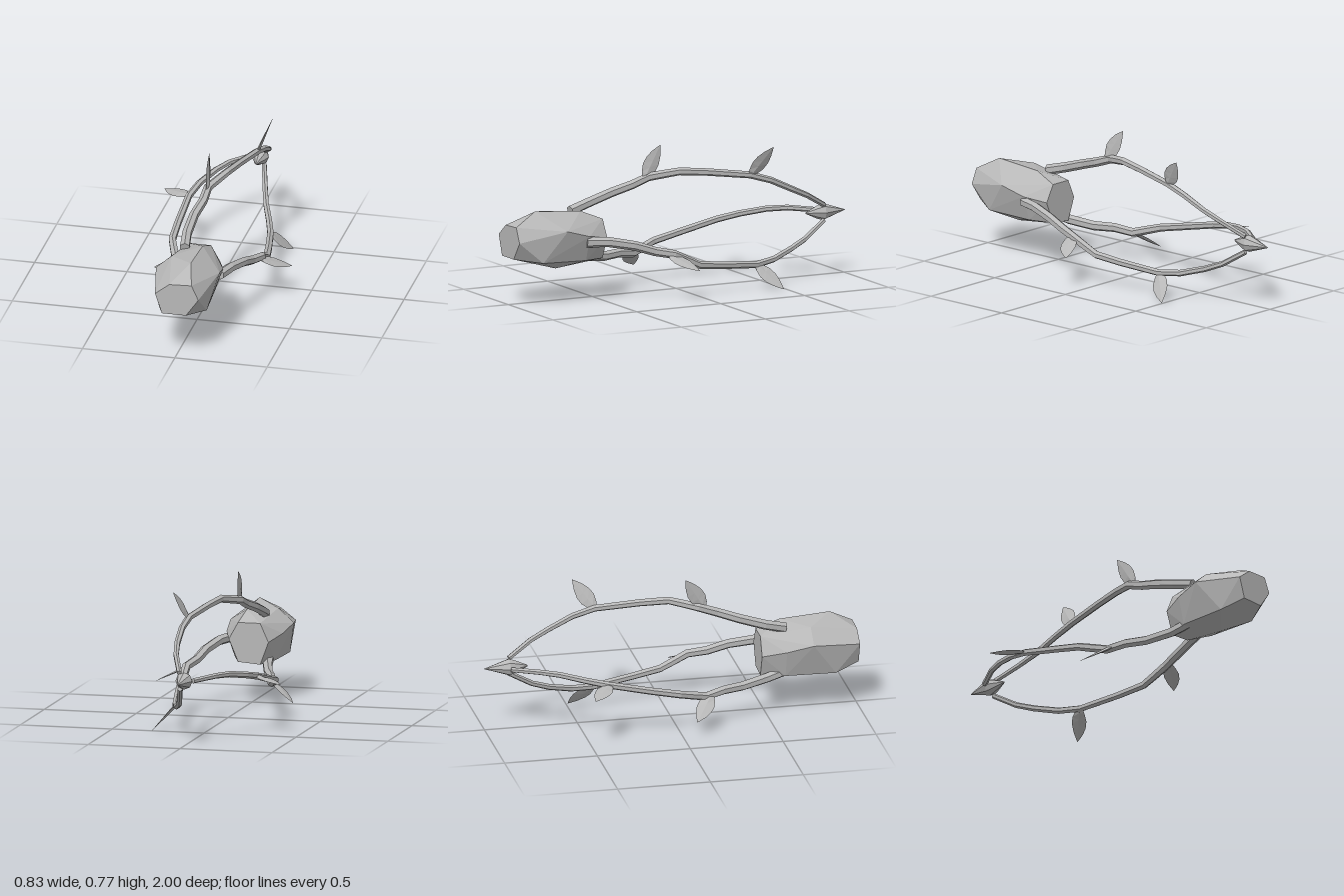
import * as THREE from 'three';
import { ConvexGeometry } from 'three/addons/geometries/ConvexGeometry.js';

const V = (x, y, z) => new THREE.Vector3(x, y, z);
const AXIS = V(0.014, 0.342, 0); // the long axis the three vines turn around

// Elliptical ring of n points round direction t, with radius a along hint and b across it
function ring(center, t, hint, a, b, n) {
  const v = t.clone().cross(hint).normalize();
  const u = v.clone().cross(t).normalize();
  return Array.from({ length: n }, (_, i) => {
    const k = (i / n) * Math.PI * 2;
    return center.clone().addScaledVector(u, a * Math.cos(k)).addScaledVector(v, b * Math.sin(k));
  });
}

// Faceted closed skin over a row of rings
function loft(rings) {
  const pts = [];
  const n = rings[0].length;
  for (let r = 0; r < rings.length - 1; r++) {
    const a = rings[r], b = rings[r + 1];
    for (let i = 0; i < n; i++) {
      const j = (i + 1) % n;
      pts.push(a[i], a[j], b[j], a[i], b[j], b[i]);
    }
  }
  const first = rings[0], last = rings[rings.length - 1];
  for (let i = 1; i < n - 1; i++) {
    pts.push(first[0], first[i + 1], first[i], last[0], last[i], last[i + 1]);
  }
  const g = new THREE.BufferGeometry().setFromPoints(pts);
  g.computeVertexNormals();
  return g;
}

function vineGeometry() {
  const path = [
    [-0.04, 0.465, 0.61], [-0.055, 0.495, 0.5], [-0.05, 0.54, 0.36], [-0.028, 0.575, 0.25],
    [-0.025, 0.61, 0.15], [0.01, 0.625, 0.07], [0.04, 0.637, 0], [0.07, 0.625, -0.15],
    [0.113, 0.597, -0.38], [0.12, 0.56, -0.5], [0.112, 0.5, -0.63], [0.092, 0.455, -0.73],
    [0.04, 0.383, -0.86],
  ].map((p) => V(...p).sub(AXIS));
  const last = path.length - 1;
  return loft(path.map((p, i) => {
    const t = path[Math.min(i + 1, last)].clone().sub(path[Math.max(i - 1, 0)]).normalize();
    const r = 0.028 - 0.014 * (i / last);
    return ring(p, t, V(0, 1, 0), r, r, 6);
  }));
}

// Thin leaf standing in the plane of its own length and the long axis
function leafGeometry(base, tip) {
  const from = V(...base).sub(AXIS), to = V(...tip).sub(AXIS);
  const t = to.clone().sub(from).normalize();
  const outline = [[0, 0.008], [0.15, 0.028], [0.35, 0.043], [0.55, 0.042], [0.75, 0.029], [0.9, 0.013], [1, 0.001]];
  return loft(outline.map(([k, w]) =>
    ring(from.clone().lerp(to, k), t, V(0, 0, 1), w, 0.009 * (1 - k) + 0.0005, 4)));
}

export function createModel() {
  const model = new THREE.Group();
  const grey = new THREE.MeshStandardMaterial({ color: 0xb8b8b8 });
  grey.name = 'grey';
  const add = (parent, name, geometry) => {
    const mesh = new THREE.Mesh(geometry, grey);
    mesh.name = name;
    parent.add(mesh);
    return mesh;
  };

  // Faceted stone head
  const stone = [
    // front face
    [-0.03, 0.425, 1], [0.09, 0.43, 1], [0.127, 0.35, 1], [0.06, 0.255, 1], [-0.07, 0.255, 1], [-0.107, 0.365, 1],
    // bulging middle
    [0.055, 0.5, 0.87], [0.14, 0.235, 0.865], [-0.11, 0.215, 0.87],
    [0.18, 0.4, 0.74], [0.04, 0.182, 0.74], [-0.165, 0.395, 0.74], [-0.08, 0.47, 0.74],
    [0.055, 0.48, 0.6], [0.165, 0.36, 0.6], [0.12, 0.225, 0.6], [-0.1, 0.215, 0.6], [-0.14, 0.36, 0.6],
    // back face
    [-0.05, 0.43, 0.475], [0.07, 0.43, 0.475], [0.12, 0.34, 0.475], [0.07, 0.22, 0.475], [-0.05, 0.21, 0.475], [-0.095, 0.33, 0.475],
  ];
  add(model, 'stoneHead', new ConvexGeometry(stone.map((p) => V(...p))));

  // Three vines, each with two leaves
  const vine = vineGeometry();
  const frontLeaf = leafGeometry([-0.02, 0.6, 0.185], [-0.036, 0.772, 0.075]);
  const backLeaf = leafGeometry([0.113, 0.59, -0.375], [0.171, 0.745, -0.49]);
  for (let i = 0; i < 3; i++) {
    const branch = new THREE.Group();
    branch.name = 'branch' + (i + 1);
    branch.position.copy(AXIS);
    branch.rotation.z = (i * Math.PI * 2) / 3;
    add(branch, 'vine', vine);
    add(branch, 'frontLeaf', frontLeaf);
    add(branch, 'backLeaf', backLeaf);
    model.add(branch);
  }

  // Pointed crystal where the vines meet
  const back = V(0, 0, -1);
  const crystal = [[-0.765, 0.004], [-0.83, 0.034], [-0.865, 0.046], [-1, 0.0005]].map(([z, r]) =>
    ring(V(AXIS.x, AXIS.y, z), back, V(0, 1, 0), r, r, 8));
  add(model, 'crystalTip', loft(crystal));

  return model;
}
